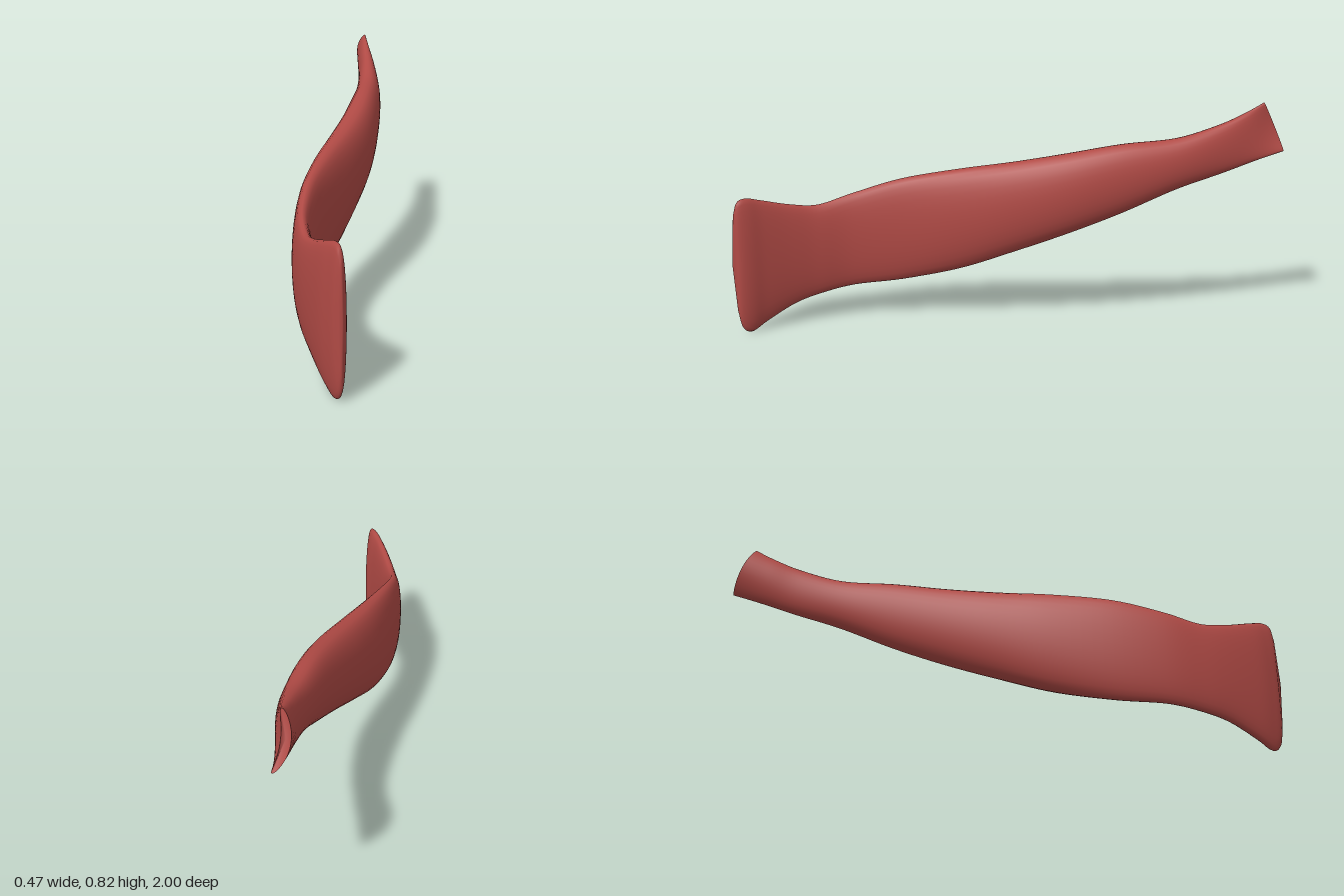
import * as THREE from 'three';

// Cross-sections from the flared front edge to the notched back end:
// [centre x, centre z, bottom y, top y, half thickness, lean in z, bow in x]
const SECTIONS = [
  [0.220, 0.985, 0.09, 0.45, 0.008, 0, 0],
  [0.212, 0.972, 0.025, 0.497, 0.022, 0, 0],
  [0.190, 0.945, 0.003, 0.508, 0.030, 0, 0],
  [0.148, 0.90, 0.030, 0.492, 0.033, 0, 0],
  [0.082, 0.81, 0.080, 0.463, 0.034, 0, 0],
  [0.030, 0.72, 0.107, 0.452, 0.034, 0, 0],
  [-0.018, 0.60, 0.130, 0.487, 0.036, 0, 0],
  [-0.048, 0.42, 0.148, 0.540, 0.047, 0, 0],
  [-0.057, 0.20, 0.195, 0.580, 0.065, 0, 0],
  [-0.055, 0.00, 0.265, 0.610, 0.074, 0, 0],
  [-0.056, -0.20, 0.340, 0.645, 0.074, 0, 0],
  [-0.073, -0.40, 0.420, 0.680, 0.064, 0, 0],
  [-0.104, -0.60, 0.508, 0.700, 0.051, 0, 0],
  [-0.143, -0.76, 0.562, 0.745, 0.038, 0.005, -0.003],
  [-0.175, -0.87, 0.605, 0.785, 0.029, 0.02, -0.012],
  [-0.200, -0.96, 0.640, 0.822, 0.016, 0.04, -0.028],
];
const STEPS = 90, SIDES = 32;

// Smooth interpolation of three section columns at once
const track = (a, b, c) => new THREE.CatmullRomCurve3(
  SECTIONS.map(s => new THREE.Vector3(s[a], s[b], s[c])), false, 'catmullrom', 0.5);

function sectionRings() {
  const centre = track(0, 1, 4), heights = track(2, 3, 5), bows = track(6, 6, 6);
  const rings = [];
  for (let i = 0; i <= STEPS; i++) {
    const u = i / STEPS;
    const c = centre.getPoint(u), h = heights.getPoint(u), bow = bows.getPoint(u).x;
    const d = centre.getPoint(Math.min(1, u + 0.01)).sub(centre.getPoint(Math.max(0, u - 0.01)));
    const len = Math.hypot(d.x, d.y);
    const sx = -d.y / len, sz = d.x / len; // sideways direction across the strap
    const ring = [];
    for (let j = 0; j < SIDES; j++) {
      const t = (j / SIDES) * Math.PI * 2, s = Math.sin(t), k = Math.cos(t);
      const side = c.z * Math.sign(k) * Math.pow(Math.abs(k), 0.85);
      ring.push([
        c.x + sx * side + bow * (1 - s * s),
        (h.x + h.y) / 2 + s * (h.y - h.x) / 2,
        c.y + sz * side + h.z * s,
      ]);
    }
    rings.push(ring);
  }
  return rings;
}

function geometryFrom(points, index) {
  const g = new THREE.BufferGeometry();
  g.setAttribute('position', new THREE.Float32BufferAttribute(points.flat(), 3));
  g.setIndex(index);
  g.computeVertexNormals();
  return g;
}

const average = ring => [0, 1, 2].map(k => ring.reduce((sum, p) => sum + p[k], 0) / ring.length);

export function createModel() {
  const group = new THREE.Group();
  group.name = 'muscle';
  const red = new THREE.MeshStandardMaterial({ color: 0xb04a45 });
  red.name = 'muscle red';
  const rings = sectionRings();

  // Strap body, closed and rounded at the front edge
  const points = rings.flat(), index = [];
  for (let i = 0; i < STEPS; i++) {
    for (let j = 0; j < SIDES; j++) {
      const a = i * SIDES + j, b = i * SIDES + (j + 1) % SIDES;
      index.push(a, a + SIDES, b, b, a + SIDES, b + SIDES);
    }
  }
  const tip = points.length;
  points.push(average(rings[0]).map((v, k) => v + [0.006, 0, 0.01][k]));
  for (let j = 0; j < SIDES; j++) index.push(tip, j, (j + 1) % SIDES);
  const strap = new THREE.Mesh(geometryFrom(points, index), red);
  strap.name = 'strap';
  group.add(strap);

  // Slightly hollow back end with a crisp rim
  const rim = rings[STEPS], hollow = average(rim);
  hollow[2] += 0.02;
  hollow[0] -= 0.006;
  const capIndex = [];
  for (let j = 0; j < SIDES; j++) capIndex.push(SIDES, (j + 1) % SIDES, j);
  const cap = new THREE.Mesh(geometryFrom([...rim, hollow], capIndex), red);
  cap.name = 'backEnd';
  group.add(cap);

  return group;
}
